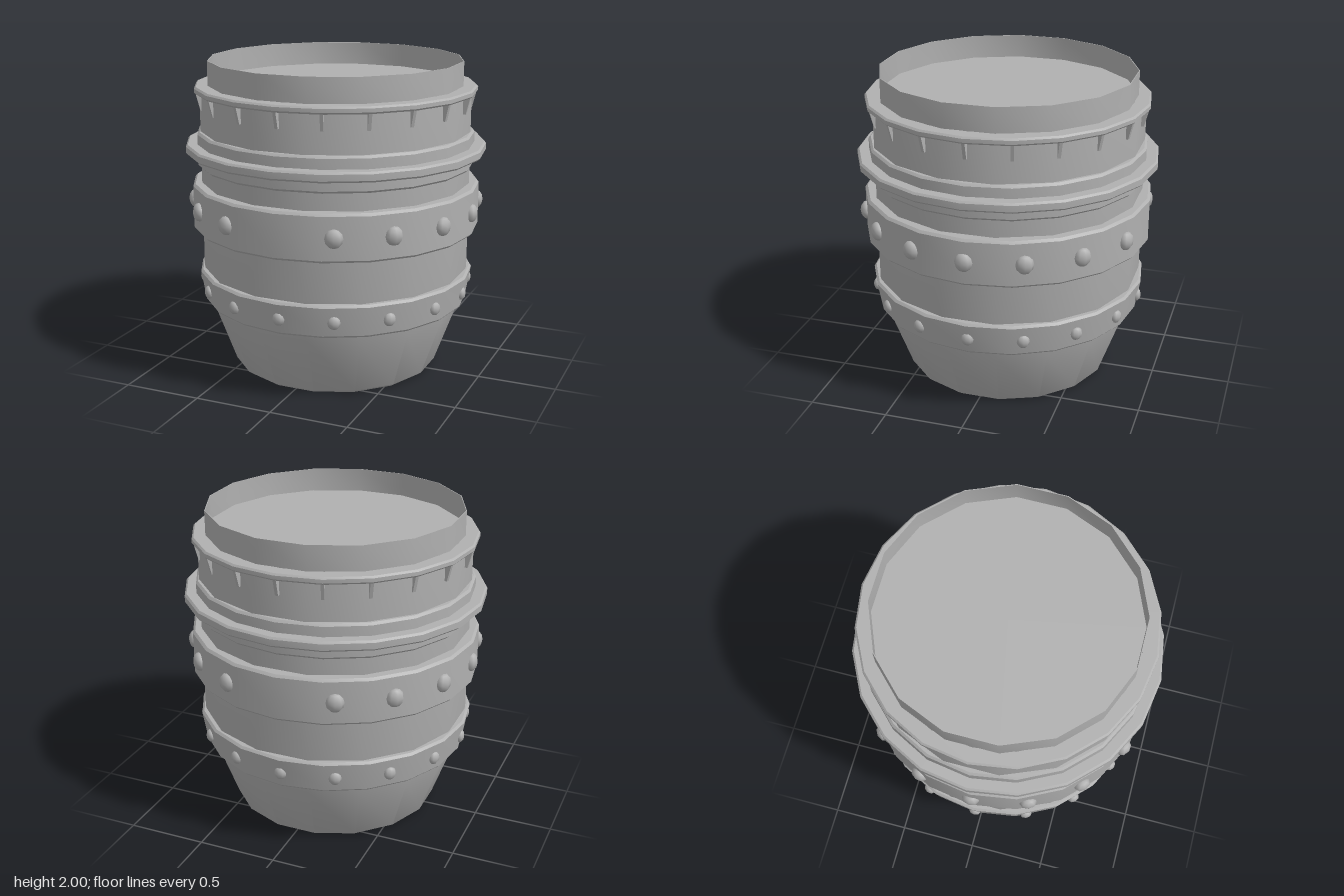
import * as THREE from 'three';
import { toCreasedNormals } from 'three/addons/utils/BufferGeometryUtils.js';

const grey = new THREE.MeshStandardMaterial({ color: 0xb0b0b0 });
grey.name = 'plain grey';

// Turned solid from [radius, y] points, listed from the bottom up the outside
function turned(name, profile, sides, phase = 0) {
  const points = profile.map(([r, y]) => new THREE.Vector2(r, y));
  const lathe = new THREE.LatheGeometry(points, sides, phase);
  const mesh = new THREE.Mesh(toCreasedNormals(lathe, 0.6), grey);
  mesh.name = name;
  return mesh;
}

// Bevelled 20-sided band; rLow and rHigh are its outer radii at bottom and top
function band(name, y0, y1, rLow, rHigh, inner, b) {
  return turned(name, [
    [inner, y0], [rLow - b, y0], [rLow, y0 + b],
    [rHigh, y1 - b], [rHigh - b, y1], [inner, y1], [inner, y0],
  ], 20);
}

// Ring of 16 domed rivets; skip(k) leaves gaps
function rivets(name, y, radius, size, depth, skip = () => false) {
  const group = new THREE.Group();
  group.name = name;
  const dome = new THREE.SphereGeometry(1, 8, 6);
  for (let k = 0; k < 16; k++) {
    if (skip(k)) continue;
    const a = k * Math.PI / 8;
    const rivet = new THREE.Mesh(dome, grey);
    rivet.name = 'rivet';
    rivet.scale.set(size * 0.95, size, depth);
    rivet.position.set(radius * Math.sin(a), y, radius * Math.cos(a));
    rivet.rotation.y = a;
    group.add(rivet);
  }
  return group;
}

// Small wedge brackets under the top flange
function brackets() {
  const group = new THREE.Group();
  group.name = 'brackets';
  const shape = new THREE.Shape();
  shape.moveTo(0.82, 1.70);
  shape.lineTo(0.862, 1.70);
  shape.lineTo(0.89, 1.81);
  shape.lineTo(0.82, 1.81);
  const wedge = new THREE.ExtrudeGeometry(shape, { depth: 0.02, bevelEnabled: false });
  wedge.translate(0, 0, -0.01);
  for (let k = 0; k < 20; k++) {
    const bracket = new THREE.Mesh(wedge, grey);
    bracket.name = 'bracket';
    bracket.rotation.y = k * Math.PI / 10;
    group.add(bracket);
  }
  return group;
}

export function createModel() {
  const model = new THREE.Group();
  model.name = 'barrel';

  // Tapered body, thin neck and recessed floor inside the neck
  model.add(turned('body', [
    [0, 0], [0.64, 0], [0.667, 0.02], [0.805, 0.4], [0.862, 0.68],
    [0.862, 1.83], [0.81, 1.83], [0.81, 2], [0.805, 2], [0.805, 1.85], [0, 1.85],
  ], 16, Math.PI / 16));

  // Bands from bottom to top
  model.add(band('lowerBand', 0.445, 0.66, 0.858, 0.89, 0.75, 0.014));
  model.add(band('middleBand', 0.933, 1.23, 0.922, 0.922, 0.8, 0.015));
  model.add(band('upperBand', 1.34, 1.56, 0.886, 0.886, 0.8, 0.014));
  model.add(band('upperBandLip', 1.42, 1.483, 0.96, 0.96, 0.8, 0.012));
  model.add(band('topFlange', 1.8, 1.845, 0.898, 0.898, 0.8, 0.011));
  model.add(brackets());

  // Rivets; the middle band has none at the front and back centre
  model.add(rivets('lowerRivets', 0.55, 0.868, 0.042, 0.028));
  model.add(rivets('middleRivets', 1.083, 0.916, 0.059, 0.04, (k) => k % 8 === 0));
  return model;
}
